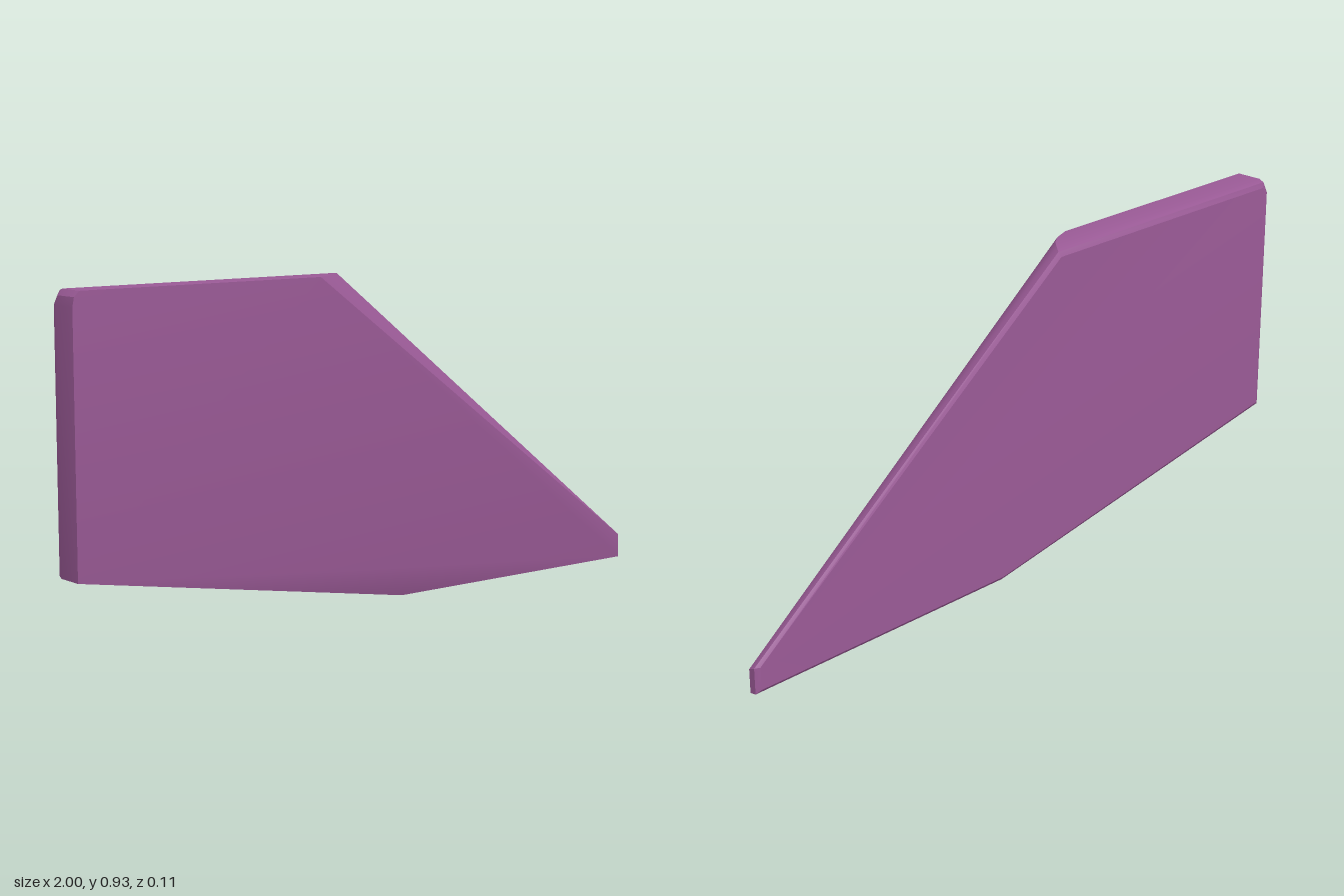
import * as THREE from 'three';
import { ConvexGeometry } from 'three/addons/geometries/ConvexGeometry.js';
import { toCreasedNormals } from 'three/addons/utils/BufferGeometryUtils.js';

export function createModel() {
  const group = new THREE.Group();
  group.name = 'taperedFin';

  // Outlines of the tapered plate, from its broad front to its softened back: [z, [x, y]...]
  const layers = [
    // front face: square end, flat top and upper shoulder
    [0.053, [-1, 0.2], [-1, 0.89], [-0.995, 0.915], [-0.98, 0.93], [-0.23, 0.93]],
    // curved shoulder leading into the sloping edge
    [0.03, [-0.175, 0.932], [-1, 0.2]],
    [0.005, [-0.14, 0.932]],
    // thin tip and lower corner
    [-0.025, [1, 0.07], [1, 0], [0.12, 0], [-1, 0.2], [-0.115, 0.932],
      [-1, 0.89], [-0.995, 0.915], [-0.98, 0.931]],
    // bevel towards the back
    [-0.046, [1, 0.08], [1, 0.004], [0.12, 0.004], [-0.993, 0.203], [-0.993, 0.89],
      [-0.975, 0.926], [-0.1, 0.926]],
    [-0.053, [0.985, 0.08], [0.985, 0.014], [0.12, 0.014], [-0.98, 0.212], [-0.98, 0.89],
      [-0.965, 0.912], [-0.105, 0.912]],
  ];
  const points = layers.flatMap(([z, ...outline]) =>
    outline.map(([x, y]) => new THREE.Vector3(x, y, z)));

  const plate = new THREE.Mesh(
    toCreasedNormals(new ConvexGeometry(points), 0.45),
    new THREE.MeshStandardMaterial({ color: 0x9a5a96 }),
  );
  plate.name = 'finPlate';
  group.add(plate);
  return group;
}
